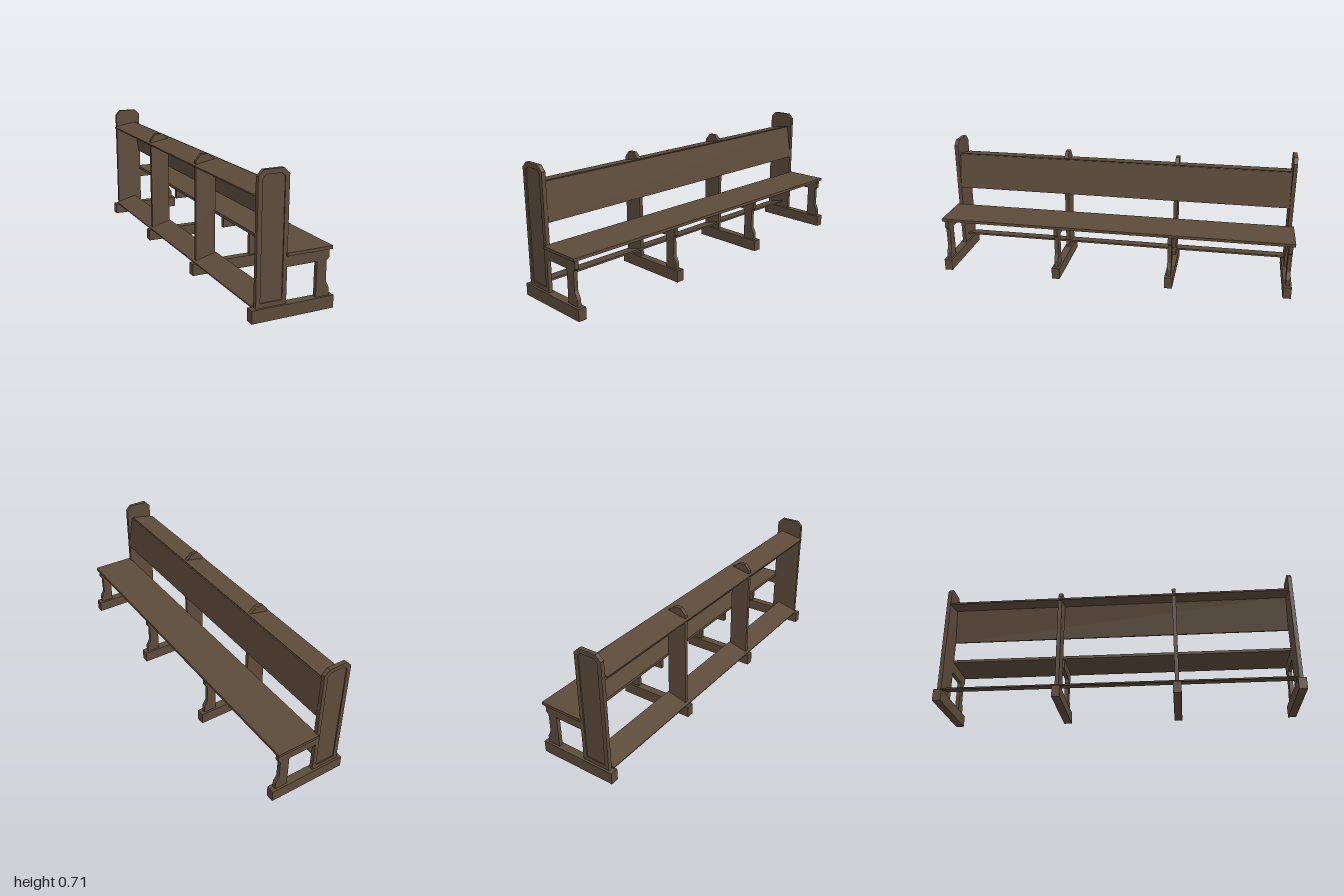
import * as THREE from 'three';

const HALF = 0.965; // half length between the end panels
const THICK = 0.022; // thickness of the upright timbers

export function createModel() {
  const wood = new THREE.MeshStandardMaterial({ color: 0x5c4b3a });
  wood.name = 'darkWood';
  const model = new THREE.Group();
  model.name = 'pew';

  // Flat timber: an xy outline extruded from z0 to z1
  const shapeOf = (pts) => new THREE.Shape(pts.map(([x, y]) => new THREE.Vector2(x, y)));
  const slab = (name, pts, z0, z1, hole, parent = model) => {
    const shape = shapeOf(pts);
    if (hole) shape.holes.push(shapeOf(hole));
    const geo = new THREE.ExtrudeGeometry(shape, { depth: z1 - z0, bevelEnabled: false });
    geo.translate(0, 0, z0);
    const mesh = new THREE.Mesh(geo, wood);
    mesh.name = name;
    parent.add(mesh);
    return mesh;
  };
  const rect = (x0, x1, y0, y1) => [[x0, y0], [x1, y0], [x1, y1], [x0, y1]];

  // Long tilted board whose upper face runs from a to b
  const board = (name, [ax, ay], [bx, by], t) => {
    const l = Math.hypot(bx - ax, by - ay);
    const nx = ((by - ay) / l) * t, ny = (-(bx - ax) / l) * t;
    slab(name, [[ax, ay], [ax + nx, ay + ny], [bx + nx, by + ny], [bx, by]], -HALF, HALF);
  };

  // Outline with both top corners cut off
  const clipped = (x0, x1, y0, y1, c) =>
    [[x0, y0], [x1, y0], [x1, y1 - c], [x1 - c, y1], [x0 + c, y1], [x0, y1 - c]];

  const seatSupport = [
    [0.127, 0.065], [0.2, 0.065], [0.2, 0.103], [0.181, 0.14], [0.181, 0.245],
    [0.195, 0.257], [0.195, 0.301], [-0.036, 0.301], [-0.036, 0.245], [0.127, 0.245],
  ];
  const middlePost = [
    [-0.197, 0.065], [-0.085, 0.065], [-0.085, 0.628], [-0.1, 0.635], [-0.125, 0.66],
    [-0.167, 0.66], [-0.197, 0.625],
  ];
  const endOutline = clipped(-0.197, -0.036, 0.065, 0.715, 0.029);
  const endRecess = clipped(-0.174, -0.058, 0.088, 0.692, 0.018);

  // Four frames: foot, seat support and back post
  for (const z of [-0.977, -0.325, 0.325, 0.977]) {
    const frame = new THREE.Group();
    frame.name = 'frame';
    model.add(frame);
    const z0 = z - THICK / 2, z1 = z + THICK / 2;
    slab('foot', rect(-0.222, 0.222, 0, 0.065), z - 0.0225, z + 0.0225, null, frame);
    slab('seatSupport', seatSupport, z0, z1, null, frame);
    if (Math.abs(z) < 0.5) {
      slab('middlePost', middlePost, z0, z1, null, frame);
    } else {
      // End panel with a recessed field on its outer face
      const d = 0.006;
      const s = z > 0;
      slab('endPanel', endOutline, s ? z0 : z0 + d, s ? z1 - d : z1, null, frame);
      slab('endPanelRim', endOutline, s ? z1 - d : z0, s ? z1 : z0 + d, endRecess, frame);
    }
  }

  // Long boards
  slab('seat', rect(-0.042, 0.205, 0.301, 0.317), -1, 1);
  board('backrest', [-0.075, 0.628], [-0.043, 0.428], -0.012);
  board('bookShelf', [-0.211, 0.605], [-0.072, 0.632], 0.009);
  board('kneeler', [-0.211, 0.076], [-0.08, 0.112], 0.009);
  return model;
}
